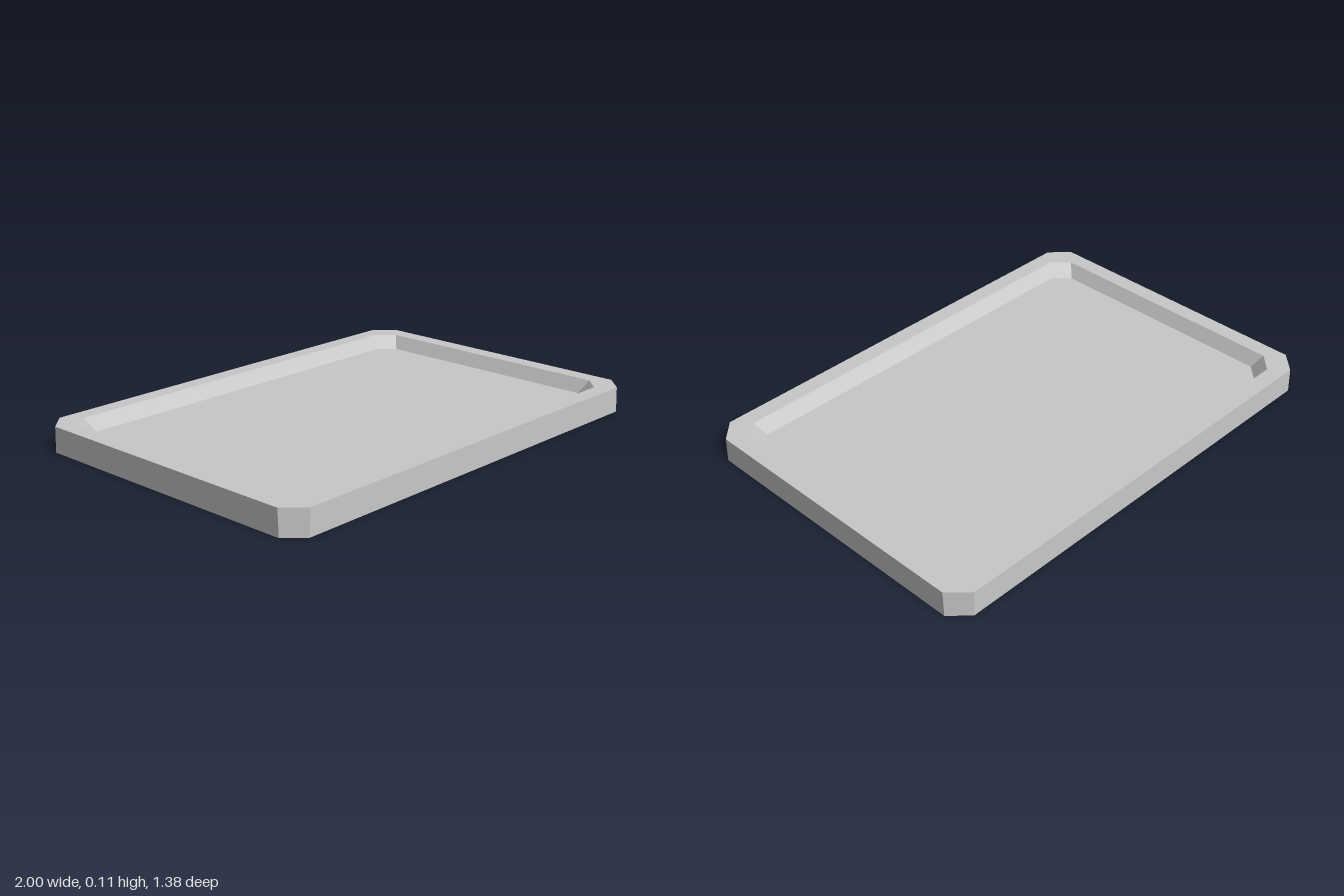
import * as THREE from 'three';

// Rectangle with cut corners at height y: half sizes x, z and corner cut
function octagon(x, z, cut, y) {
  const cx = x - cut, cz = z - cut;
  return [[x, -cz], [x, cz], [cx, z], [-cx, z], [-x, cz], [-x, -cz], [-cx, -z], [cx, -z]]
    .map(([px, pz]) => [px, y, pz]);
}

// Flat-faced bands between successive rings
function bands(rings) {
  const out = [];
  for (let r = 0; r < rings.length - 1; r++) {
    const a = rings[r], b = rings[r + 1];
    a.forEach((p, i) => {
      const j = (i + 1) % a.length;
      out.push(...p, ...b[i], ...b[j], ...p, ...b[j], ...a[j]);
    });
  }
  return out;
}

// Flat cap over one ring
function cap(ring, up) {
  const out = [];
  const centre = [0, ring[0][1], 0];
  ring.forEach((p, i) => {
    const q = ring[(i + 1) % ring.length];
    out.push(...centre, ...(up ? q : p), ...(up ? p : q));
  });
  return out;
}

function part(name, positions, material) {
  const geometry = new THREE.BufferGeometry();
  geometry.setAttribute('position', new THREE.Float32BufferAttribute(positions, 3));
  geometry.computeVertexNormals();
  const mesh = new THREE.Mesh(geometry, material);
  mesh.name = name;
  return mesh;
}

export function createModel() {
  const group = new THREE.Group();
  group.name = 'tray';
  const grey = new THREE.MeshStandardMaterial({ color: 0xc8c8c8 });
  grey.name = 'light grey';

  const base = octagon(1, 0.692, 0.073, 0);
  const rimOuter = octagon(1, 0.692, 0.078, 0.108);
  const rimInner = octagon(0.929, 0.62, 0.07, 0.108);
  const floor = octagon(0.895, 0.582, 0.066, 0.052);

  // Outer wall, flat rim and sloping inner wall
  group.add(part('outerWall', bands([base, rimOuter]), grey));
  group.add(part('rim', bands([rimOuter, rimInner]), grey));
  group.add(part('innerWall', bands([rimInner, floor]), grey));
  // Sunken floor and underside
  group.add(part('floor', cap(floor, true), grey));
  group.add(part('underside', cap(base, false), grey));
  return group;
}
